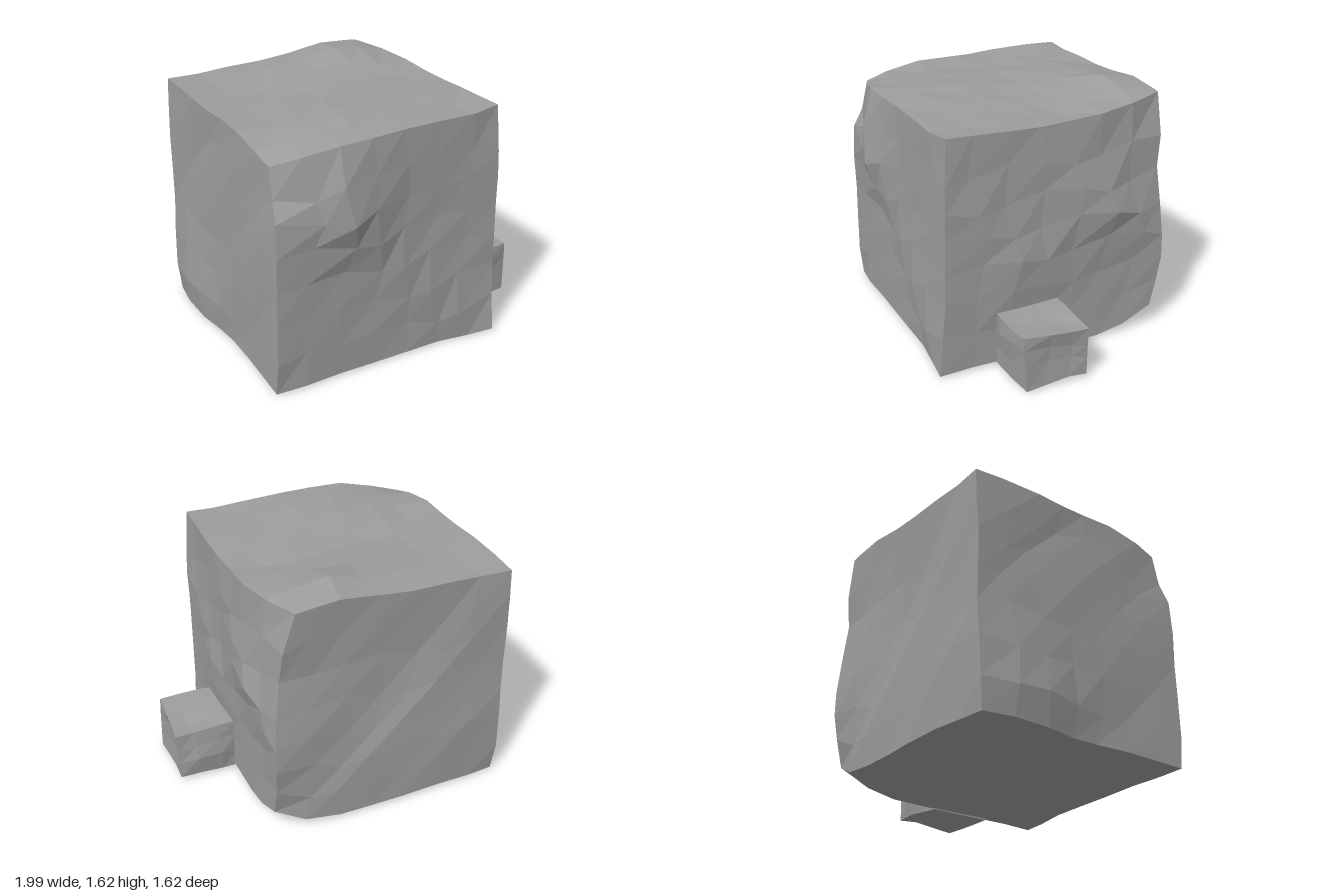
import * as THREE from 'three';

// Smooth repeatable ripple, so that vertices shared by two faces move together
const ripple = (x, y, z, k) =>
  Math.sin(5.1 * x + 3.7 * y + k) * 0.5 + Math.sin(6.3 * z - 4.9 * y + 2.3 * k) * 0.3 +
  Math.sin(9.1 * x - 7.7 * z + 8.3 * y + 4.1 * k) * 0.4;

// Box between two corners, hewn by ripples and local dents or bulges.
// Each bump: centre x,y,z, offset x,y,z, radius.
function hewnBlock(name, min, max, segments, rough, bumps) {
  const size = max.map((v, i) => v - min[i]);
  const geo = new THREE.BoxGeometry(...size, segments, segments, segments);
  geo.translate(...max.map((v, i) => (v + min[i]) / 2));
  const pos = geo.attributes.position;
  const step = size[0] / segments;
  for (let i = 0; i < pos.count; i++) {
    const p = [pos.getX(i), pos.getY(i), pos.getZ(i)];
    const q = [...p];
    const sides = p.map((v, a) => Math.min(v - min[a], max[a] - v) < 1e-4);
    // rougher inside a face, calmer along the edges
    const out = sides.filter(Boolean).length > 1 ? rough * 0.6 : rough;
    for (let a = 0; a < 3; a++) {
      // slide freely within a face, move only slightly out of it
      q[a] += ripple(...p, a * 2 + 1) * (sides[a] ? out : step * 0.3);
    }
    for (const [x, y, z, dx, dy, dz, r] of bumps) {
      const w = Math.exp(-((p[0] - x) ** 2 + (p[1] - y) ** 2 + (p[2] - z) ** 2) / (r * r));
      q[0] += dx * w;
      q[1] += dy * w;
      q[2] += dz * w;
    }
    pos.setXYZ(i, q[0], Math.max(q[1], 0), q[2]);
  }
  const flat = geo.toNonIndexed();
  flat.computeVertexNormals();
  const mesh = new THREE.Mesh(flat, new THREE.MeshStandardMaterial({ color: 0x9d9d9d, flatShading: true }));
  mesh.name = name;
  return mesh;
}

export function createModel() {
  const group = new THREE.Group();
  group.name = 'roughStones';

  // Large stone cube
  group.add(hewnBlock('largeStone', [-0.93, 0.015, -0.8], [0.605, 1.535, 0.715], 7, 0.017, [
    // bulges on the sides and top
    [-0.93, 0.22, -0.5, -0.07, 0, 0, 0.28],
    [0.61, 0.9, -0.3, 0.045, 0, 0, 0.25],
    [0.61, 0.55, 0.25, 0.04, 0, 0, 0.2],
    [-0.53, 1.13, 0.72, 0, 0, 0.095, 0.32],
    [0.2, 1.535, -0.6, 0, 0.09, 0, 0.28],
    // chipped and drawn-out corners
    [0.61, 1.535, -0.8, -0.13, 0.035, -0.01, 0.22],
    [0.61, 0.01, -0.8, 0, 0.13, 0.05, 0.2],
    [0.61, 0.01, 0.72, 0, 0, 0.035, 0.25],
    [0.61, 1.535, 0.72, 0, 0.02, -0.04, 0.2],
    [-0.93, 1.535, 0.72, 0.02, -0.08, -0.11, 0.3],
    [-0.93, 0.01, 0.72, -0.02, 0, -0.02, 0.2],
    [-0.93, 0.01, -0.8, 0, 0, 0.03, 0.15],
    // dents along the back
    [0.61, 1.1, -0.8, -0.04, 0, 0.03, 0.2],
    [0.1, 1.13, -0.8, 0, 0, 0.03, 0.4],
  ]));

  // Small stone lying against its side
  group.add(hewnBlock('smallStone', [0.58, 0.005, -0.045], [0.975, 0.365, 0.37], 3, 0.008, [
    [0.78, 0.29, 0.37, 0, 0, 0.035, 0.12],
    [0.78, 0.12, -0.045, 0, 0, -0.035, 0.12],
    [0.975, 0.36, -0.045, 0.025, -0.005, 0, 0.12],
    [0.975, 0.36, 0.37, -0.015, 0.005, 0.01, 0.12],
    [0.975, 0.005, 0.37, 0.005, 0, -0.015, 0.12],
    [0.975, 0.2, 0.16, -0.035, 0, 0, 0.12],
    [0.85, 0.36, 0.14, 0, -0.03, 0, 0.16],
    [0.9, 0.005, 0.06, 0, 0.03, 0, 0.15],
  ]));
  return group;
}
